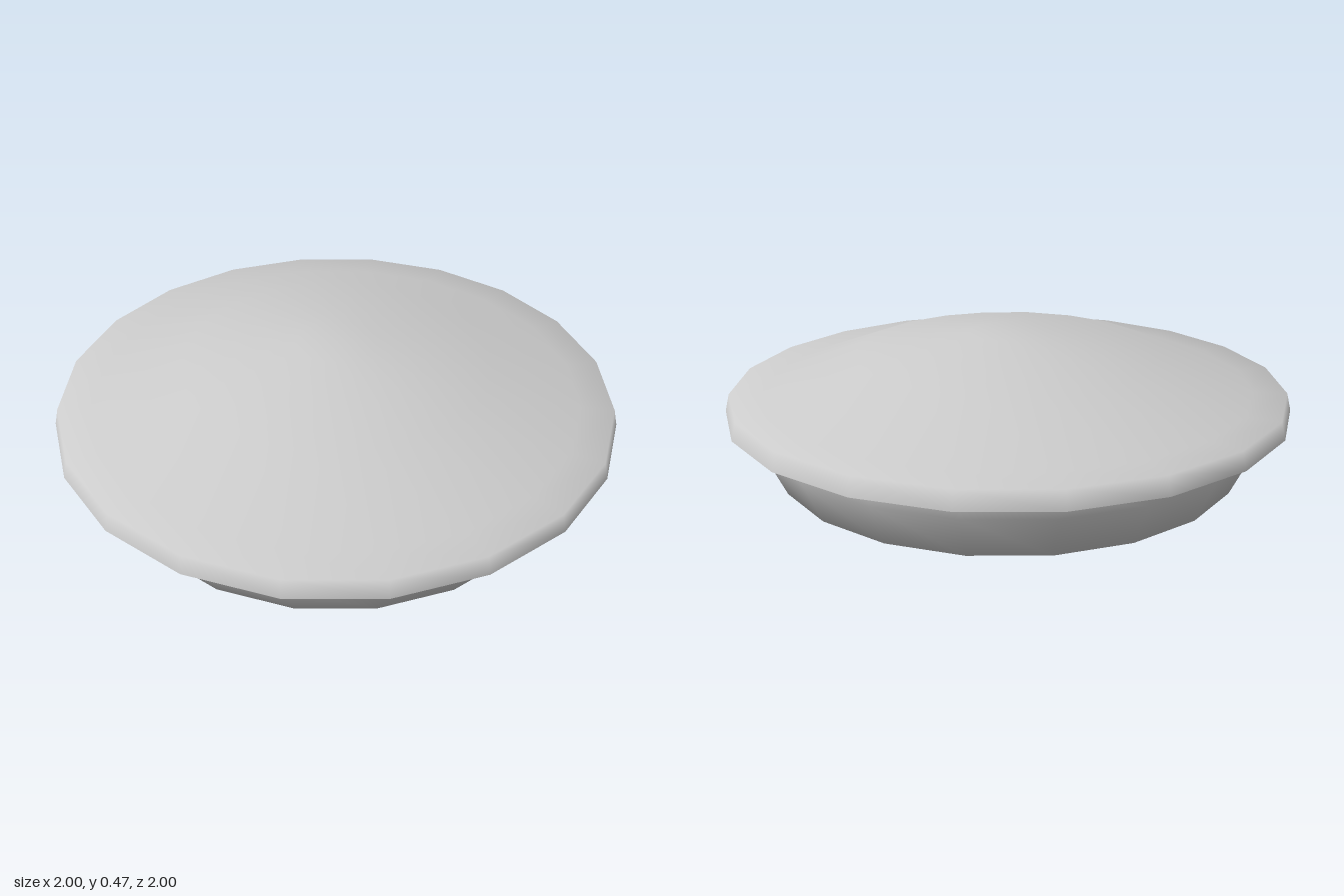
import * as THREE from 'three';

const SIDES = 20;

export function createModel() {
  const group = new THREE.Group();
  const material = new THREE.MeshStandardMaterial({ color: 0xcccccc, side: THREE.DoubleSide });

  // Each part is a ring-by-ring profile of [radius, height], listed from bottom to top.
  const addLathe = (name, profile) => {
    const points = profile.map(([r, y]) => new THREE.Vector2(r, y));
    const mesh = new THREE.Mesh(new THREE.LatheGeometry(points, SIDES), material);
    mesh.name = name;
    group.add(mesh);
  };

  // Flared dish with a flat base
  addLathe('dish', [[0, 0], [0.83, 0], [0.9, 0.15], [0.9, 0.2]]);

  // Sharp-edged underside of the overhanging rim
  addLathe('rimUnderside', [[0.9, 0.2], [1, 0.22]]);

  // Rim and shallow domed top, smooth across
  addLathe('domedTop', [
    [1, 0.22], [0.985, 0.28], [0.87, 0.28], [0.55, 0.4], [0.14, 0.465], [0, 0.465],
  ]);

  return group;
}
